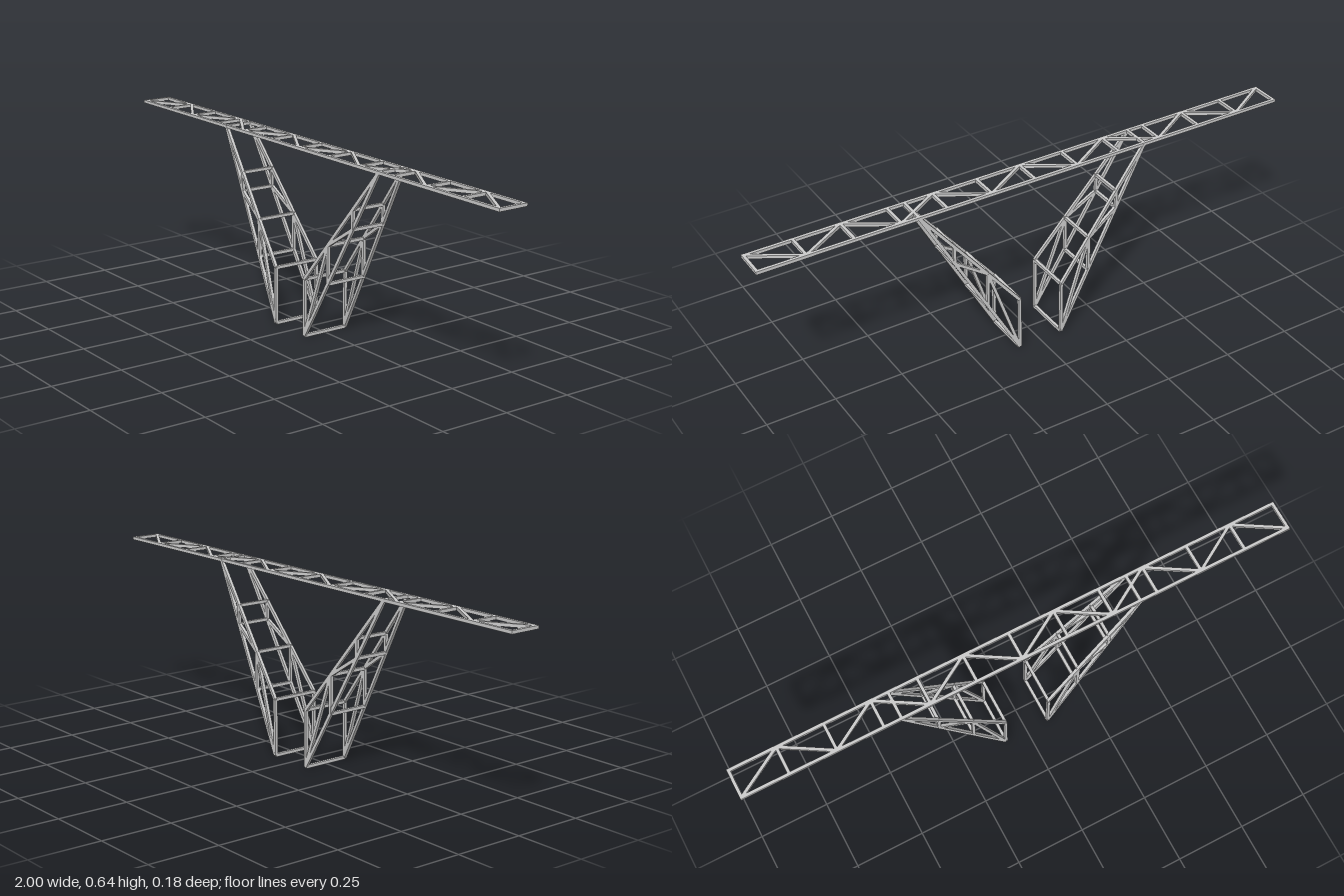
import * as THREE from 'three';

const material = new THREE.MeshStandardMaterial({ color: 0xcccccc, flatShading: true });
const SIZE = 0.011; // bar thickness
const TOP = 0.636; // height of the boom's centre line

// Square bar between two points, kept level around its own axis
function bar(parent, name, a, b) {
  const along = b.clone().sub(a);
  const length = along.length();
  along.normalize();
  const vertical = Math.abs(along.y) > 0.999;
  const reference = vertical ? new THREE.Vector3(0, 0, 1) : new THREE.Vector3(0, 1, 0);
  const side = along.clone().cross(reference).normalize();
  const up = side.clone().cross(along);

  const mesh = new THREE.Mesh(new THREE.BoxGeometry(SIZE, length, SIZE), material);
  mesh.name = name;
  mesh.position.lerpVectors(a, b, 0.5);
  mesh.quaternion.setFromRotationMatrix(new THREE.Matrix4().makeBasis(side, along, up));
  parent.add(mesh);
}

// Flat horizontal truss: two chords, rungs and zigzag bracing
function createBoom() {
  const boom = new THREE.Group();
  boom.name = 'boom';
  const bays = 12, half = 1 - SIZE / 2, z = 0.05;
  const at = (x, side) => new THREE.Vector3(x, TOP, side * z);
  for (const s of [-1, 1]) bar(boom, 'boomChord', at(-1, s), at(1, s));
  for (let i = 0; i <= bays; i++) {
    const x = half * (2 * i / bays - 1);
    bar(boom, 'boomRung', at(x, -1), at(x, 1));
    if (i < bays) {
      const s = i % 2 ? -1 : 1;
      bar(boom, 'boomDiagonal', at(x, s), at(x + 2 * half / bays, -s));
    }
  }
  return boom;
}

// Tapered leg leaning outward toward side sx, made of two side trusses joined by rungs
function createLeg(sx) {
  const leg = new THREE.Group();
  leg.name = sx > 0 ? 'leftLeg' : 'rightLeg';
  const node = (startY, i, sz) => {
    const t = i / 3;
    return new THREE.Vector3(
      sx * THREE.MathUtils.lerp(0.084, 0.435, t),
      THREE.MathUtils.lerp(startY, TOP, t),
      sz * THREE.MathUtils.lerp(0.085, 0.05, t));
  };
  const lower = (i, sz) => node(SIZE / 2, i, sz);
  const upper = (i, sz) => node(0.205, i, sz);

  for (const sz of [-1, 1]) {
    bar(leg, 'lowerChord', lower(0, sz), lower(3, sz));
    bar(leg, 'upperChord', upper(0, sz), upper(3, sz));
    for (let i = 0; i < 3; i++) bar(leg, 'post', lower(i, sz), upper(i, sz));
    bar(leg, 'diagonal', lower(0, sz), upper(1, sz));
    bar(leg, 'diagonal', upper(1, sz), lower(2, sz));
  }
  for (let i = 0; i < 3; i++) {
    bar(leg, 'lowerRung', lower(i, -1), lower(i, 1));
    bar(leg, 'upperRung', upper(i, -1), upper(i, 1));
  }
  bar(leg, 'topRung', lower(3, -1), lower(3, 1));
  return leg;
}

export function createModel() {
  const model = new THREE.Group();
  model.name = 'trussSupport';
  model.add(createBoom(), createLeg(1), createLeg(-1));
  return model;
}
